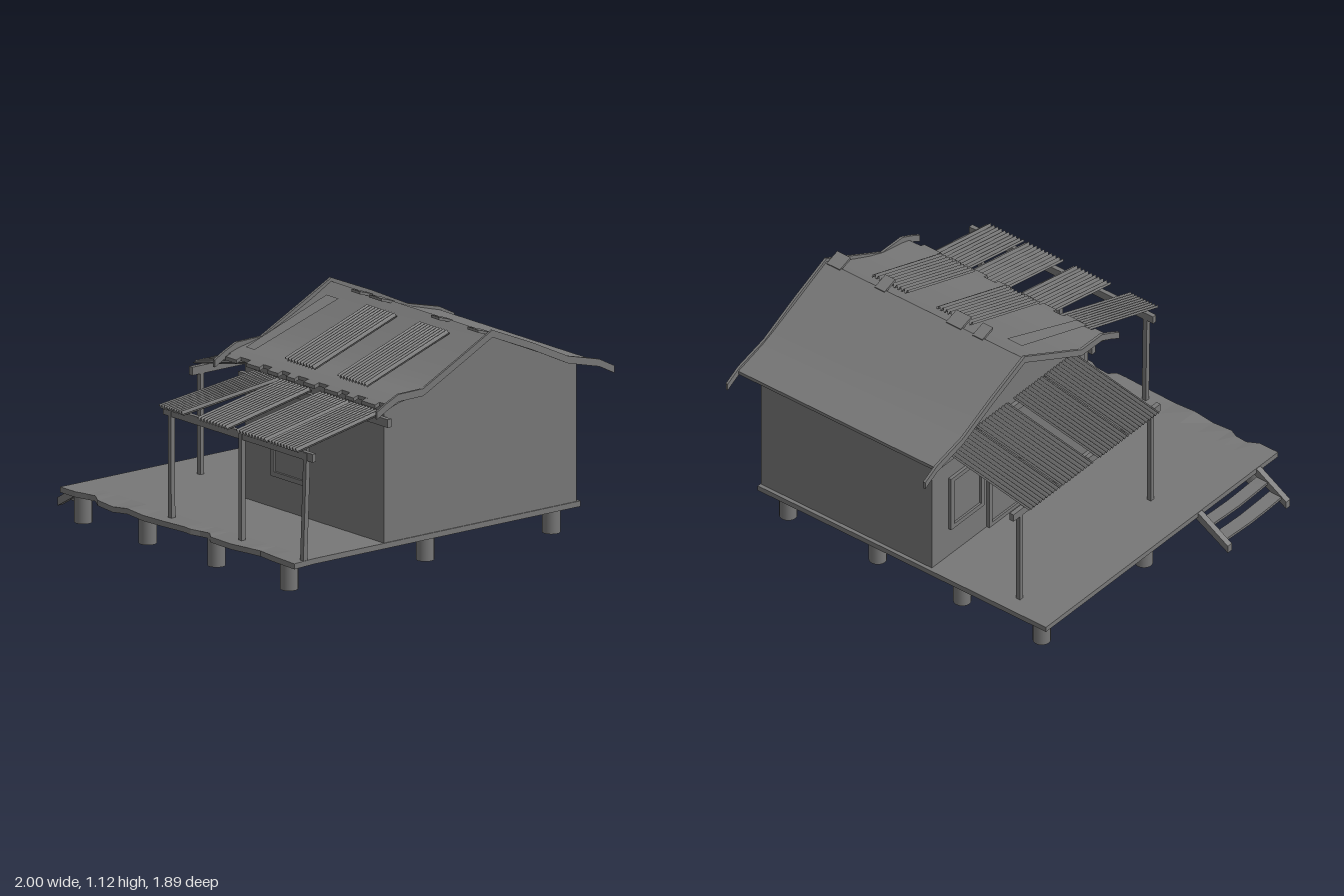
import * as THREE from 'three';
import { toCreasedNormals } from 'three/addons/utils/BufferGeometryUtils.js';

const GREY = 0x777777;
const mat = new THREE.MeshStandardMaterial({ color: GREY, flatShading: true });
const smoothMat = new THREE.MeshStandardMaterial({ color: GREY });
const thinMat = new THREE.MeshStandardMaterial({ color: GREY, side: THREE.DoubleSide });

export function createModel() {
  const root = new THREE.Group();
  root.name = 'stiltHut';

  const add = (name, geo, parent = root, material = mat) => {
    const m = new THREE.Mesh(geo, material);
    m.name = name;
    parent.add(m);
    return m;
  };
  // box given by its limits on each axis
  const box = (name, x0, x1, y0, y1, z0, z1, parent = root) => {
    const m = add(name, new THREE.BoxGeometry(x1 - x0, y1 - y0, z1 - z0), parent);
    m.position.set((x0 + x1) / 2, (y0 + y1) / 2, (z0 + z1) / 2);
    return m;
  };
  // [z, y] outline extruded along x, gentle bends smoothed
  const extrudeX = (name, pts, x0, x1) => {
    const shape = new THREE.Shape(pts.map(([z, y]) => new THREE.Vector2(-z, y)));
    const geo = new THREE.ExtrudeGeometry(shape, { depth: x1 - x0, bevelEnabled: false });
    geo.rotateY(Math.PI / 2).translate(x0, 0, 0);
    return add(name, toCreasedNormals(geo, 0.35), root, smoothMat);
  };
  // [z, y] line thickened downwards, extruded along x
  const slab = (name, line, t, x0, x1) =>
    extrudeX(name, [...line, ...line.map(([z, y]) => [z, y - t]).reverse()], x0, x1);
  // corrugated sheet between four corners (top a-b, bottom c-d)
  const sheet = (name, a, b, c, d, waves = 10, amp = 0.011) => {
    const [A, B, C, D] = [a, b, c, d].map((p) => new THREE.Vector3(...p));
    const normal = C.clone().sub(A).cross(B.clone().sub(A)).normalize();
    const geo = new THREE.PlaneGeometry(1, 1, waves * 8, 1);
    const pos = geo.attributes.position;
    for (let i = 0; i < pos.count; i++) {
      const u = pos.getX(i) + 0.5, v = 0.5 - pos.getY(i);
      const p = A.clone().lerp(B, u).lerp(C.clone().lerp(D, u), v);
      p.addScaledVector(normal, amp * Math.sin(u * waves * Math.PI * 2));
      pos.setXYZ(i, p.x, p.y, p.z);
    }
    geo.computeVertexNormals();
    return add(name, geo, root, thinMat);
  };

  // deck, with a worn and uneven front strip: [x, z, height change]
  box('deck', -0.82, 0.92, 0.136, 0.163, -0.8, 0.82);
  const edge = [
    [-0.82, 0.937, 0], [-0.71, 0.937, 0], [-0.65, 0.91, -0.004], [-0.59, 0.91, 0], [-0.54, 0.937, -0.006],
    [-0.43, 0.937, -0.014], [-0.32, 0.937, 0], [-0.2, 0.937, -0.008], [-0.05, 0.937, -0.004], [0.1, 0.937, 0.002],
    [0.15, 0.937, 0], [0.19, 0.912, -0.005], [0.26, 0.912, 0], [0.3, 0.937, -0.006], [0.45, 0.937, -0.008],
    [0.58, 0.937, 0], [0.64, 0.912, -0.006], [0.75, 0.937, 0], [0.92, 0.937, -0.005],
  ];
  for (let i = 1; i < edge.length; i++) {
    const [a, b] = [edge[i - 1], edge[i]];
    const geo = new THREE.BoxGeometry(1, 1, 1);
    const p = geo.attributes.position;
    for (let j = 0; j < p.count; j++) {
      const [x, z, dy] = p.getX(j) < 0 ? a : b;
      const outer = p.getZ(j) > 0;
      p.setXYZ(j, x, (p.getY(j) < 0 ? 0.136 : 0.163) + (outer ? dy : 0), outer ? z : 0.82);
    }
    add('deckFrontEdge', geo);
  }

  // stilts
  const stiltGeo = new THREE.CylinderGeometry(0.043, 0.043, 0.137, 20);
  for (const x of [-0.73, -0.25, 0.26, 0.8])
    for (const z of [0.87, 0.045, -0.72])
      add('stilt', stiltGeo, root, smoothMat).position.set(x, 0.0685, z);

  // walls with gable ends
  extrudeX('walls', [[0.39, 0.14], [0.39, 0.862], [0.22, 0.882], [0, 0.975], [-0.2, 1.085], [-0.66, 0.885],
    [-0.78, 0.85], [-0.78, 0.14]], -0.115, 0.915);

  // roof
  const front = [[0.42, 0.856], [0.36, 0.874], [0.29, 0.887], [0.22, 0.902], [0.12, 0.94], [0, 0.995], [-0.1, 1.045], [-0.2, 1.1]];
  const back = [[-0.2, 1.1], [-0.4, 1.012], [-0.6, 0.925], [-0.68, 0.895], [-0.86, 0.845]];
  slab('frontRoof', front, 0.018, -0.2, 0.99);
  slab('backRoof', back, 0.018, -0.2, 0.99);
  for (const [x0, x1] of [[0.04, 0.1], [0.17, 0.26], [0.63, 0.69], [0.9, 0.98]])
    slab('ridgeTab', [[-0.13, 1.125], [-0.21, 1.1]], 0.014, x0, x1);
  for (const [x0, x1] of [[-0.19, -0.11], [-0.04, 0.06], [0.12, 0.2], [0.26, 0.32], [0.39, 0.47], [0.54, 0.64], [0.7, 0.76], [0.82, 0.92]])
    slab('eaveTab', [[0.447, 0.847], [0.41, 0.859]], 0.018, x0, x1);
  const barge = [[0.5, 0.838], [0.44, 0.87], [0.37, 0.902], [0.22, 0.904], [0, 1.015], [-0.2, 1.117],
    [-0.44, 1.015], [-0.66, 0.91], [-0.85, 0.862], [-0.94, 0.815]];
  slab('leftGableBoard', barge, 0.036, 0.988, 1.0);
  slab('rightGableBoard', barge.map(([z, y]) => [z * 1.01, y]), 0.036, -0.212, -0.198);

  // patches lying on the front slope
  for (const x of [0.17, 0.56])
    sheet('roofSheet', [x, 1.073, -0.12], [x + 0.22, 1.073, -0.12], [x, 0.9, 0.38], [x + 0.22, 0.9, 0.38]);
  sheet('roofPlank', [-0.11, 1.07, -0.1], [-0.02, 1.07, -0.1], [-0.11, 0.9, 0.39], [-0.045, 0.9, 0.39], 1, 0);

  // front awning: [top x0, x1, bottom x0, x1]
  for (const [a, b, c, d] of [[-0.03, 0.16, -0.12, 0.06], [0.17, 0.39, 0.165, 0.39], [0.455, 0.68, 0.45, 0.68], [0.69, 0.91, 0.69, 0.91]])
    sheet('frontAwningSheet', [a, 0.8, 0.4], [b, 0.8, 0.4], [c, 0.7, 0.908], [d, 0.7, 0.908]);
  box('frontAwningBeam', -0.14, 0.97, 0.65, 0.69, 0.845, 0.868);
  box('frontWallBeam', -0.14, 0.97, 0.74, 0.78, 0.388, 0.412);

  // side awning
  for (const [a, b] of [[-0.69, -0.455], [-0.45, -0.21], [-0.17, 0.055], [0.06, 0.285]])
    sheet('sideAwningSheet', [-0.115, 0.803, a], [-0.115, 0.803, b], [-0.63, 0.698, a], [-0.63, 0.698, b], 10, 0.008);
  box('sideAwningBeam', -0.592, -0.568, 0.655, 0.695, -0.76, 0.34);
  box('sideWallBeam', -0.137, -0.113, 0.74, 0.78, -0.74, 0.34);

  // awning posts: x, z, lean in x and in z at the top
  for (const [x, z, lx, lz] of [[-0.075, 0.868, -0.015, -0.01], [0.44, 0.862, 0, 0], [0.905, 0.868, 0.012, -0.01], [-0.58, -0.7, 0, 0], [-0.58, 0.28, 0, 0]]) {
    const geo = new THREE.BoxGeometry(0.024, 0.53, 0.024);
    const p = geo.attributes.position;
    for (let i = 0; i < p.count; i++)
      if (p.getY(i) > 0) p.setXYZ(i, p.getX(i) + lx, p.getY(i), p.getZ(i) + lz);
    add('awningPost', geo).position.set(x, 0.42, z);
  }

  // framed opening, built facing +z
  const opening = (name, w, h, x, y, z, turn) => {
    const g = new THREE.Group();
    g.name = name;
    const rect = (T, a, b) => new T([[-a, -b], [a, -b], [a, b], [-a, b]].map((p) => new THREE.Vector2(...p)));
    const shape = rect(THREE.Shape, w / 2, h / 2);
    shape.holes.push(rect(THREE.Path, w / 2 - 0.024, h / 2 - 0.024));
    add('frame', new THREE.ExtrudeGeometry(shape, { depth: 0.016, bevelEnabled: false }), g);
    box('panel', -w / 2 + 0.02, w / 2 - 0.02, -h / 2 + 0.02, h / 2 - 0.02, -0.004, 0.005, g);
    g.position.set(x, y, z);
    g.rotation.y = turn;
    root.add(g);
  };
  opening('frontWindow', 0.265, 0.3, 0.227, 0.47, 0.39, 0);
  opening('sideWindow', 0.25, 0.3, -0.115, 0.47, -0.53, -Math.PI / 2);
  opening('door', 0.26, 0.46, -0.115, 0.39, -0.24, -Math.PI / 2);

  // steps: two stringers and two sagging treads
  const side = new THREE.Shape([[-1, 0.01], [-1, 0.05], [-0.82, 0.16], [-0.8, 0.16], [-0.8, 0.125]].map((p) => new THREE.Vector2(...p)));
  for (const z of [0.338, 0.775]) {
    const geo = new THREE.ExtrudeGeometry(side, { depth: 0.03, bevelEnabled: false });
    add('stepStringer', geo.translate(0, 0, z));
  }
  for (const [x0, x1, y] of [[-0.97, -0.897, 0.065], [-0.887, -0.82, 0.113]])
    slab('stepTread', [[0.79, y], [0.68, y - 0.006], [0.56, y - 0.01], [0.46, y - 0.006], [0.35, y]], 0.013, x0, x1);

  return root;
}
